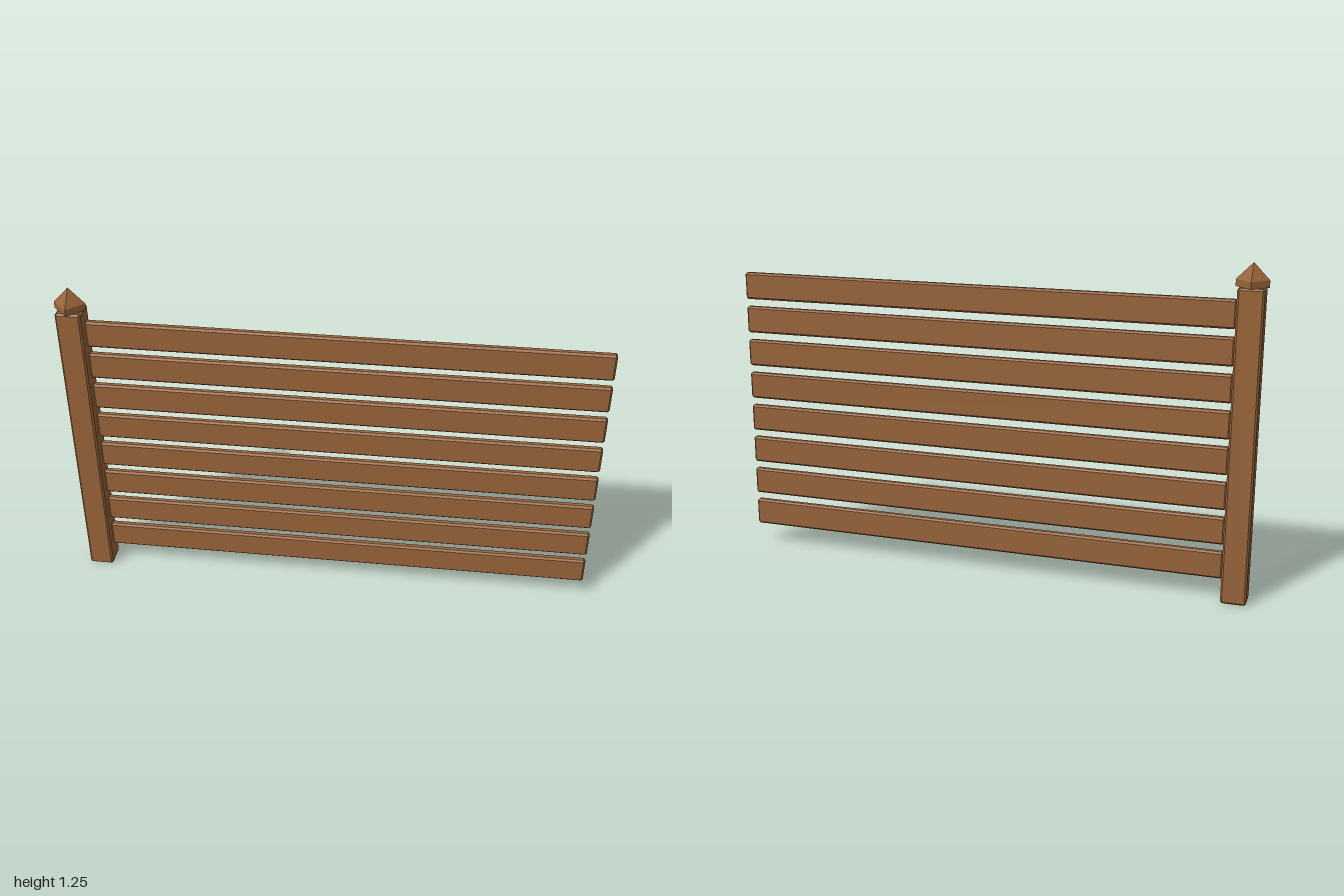
import * as THREE from 'three';
import { ConvexGeometry } from 'three/addons/geometries/ConvexGeometry.js';

// Box with every edge chamfered by c
function chamferBox(w, h, d, c) {
  const half = [w / 2, h / 2, d / 2];
  const points = [];
  for (const sx of [-1, 1]) for (const sy of [-1, 1]) for (const sz of [-1, 1]) {
    for (let axis = 0; axis < 3; axis++) {
      // one corner point per face: full size on its axis, inset on the others
      const p = [sx, sy, sz].map((s, i) => s * (half[i] - (i === axis ? 0 : c)));
      points.push(new THREE.Vector3(...p));
    }
  }
  return new ConvexGeometry(points);
}

export function createModel() {
  const group = new THREE.Group();
  const wood = new THREE.MeshStandardMaterial({ color: 0x98643a });
  wood.name = 'brownWood';

  const add = (name, geometry, x, y) => {
    const mesh = new THREE.Mesh(geometry, wood);
    mesh.name = name;
    mesh.position.set(x, y, 0);
    group.add(mesh);
  };

  const postX = -0.942, postWidth = 0.094, postHeight = 1.165;

  // Square post
  add('post', chamferBox(postWidth, postHeight, postWidth, 0.007), postX, postHeight / 2);

  // Four-sided pointed cap, turned 45 degrees to the post
  const profile = [[0, 0], [0.058, 0], [0.058, 0.025], [0, 0.085]]
    .map(([r, y]) => new THREE.Vector2(r, y));
  const cap = new THREE.LatheGeometry(profile, 4).toNonIndexed();
  cap.computeVertexNormals();
  add('postCap', cap, postX, postHeight);

  // Eight horizontal slats
  const start = postX + postWidth / 2, end = 1;
  const slat = chamferBox(end - start, 0.104, 0.029, 0.007);
  for (let i = 0; i < 8; i++) {
    add(`slat${i + 1}`, slat, (start + end) / 2, 0.134 + i * 0.1333);
  }

  return group;
}
